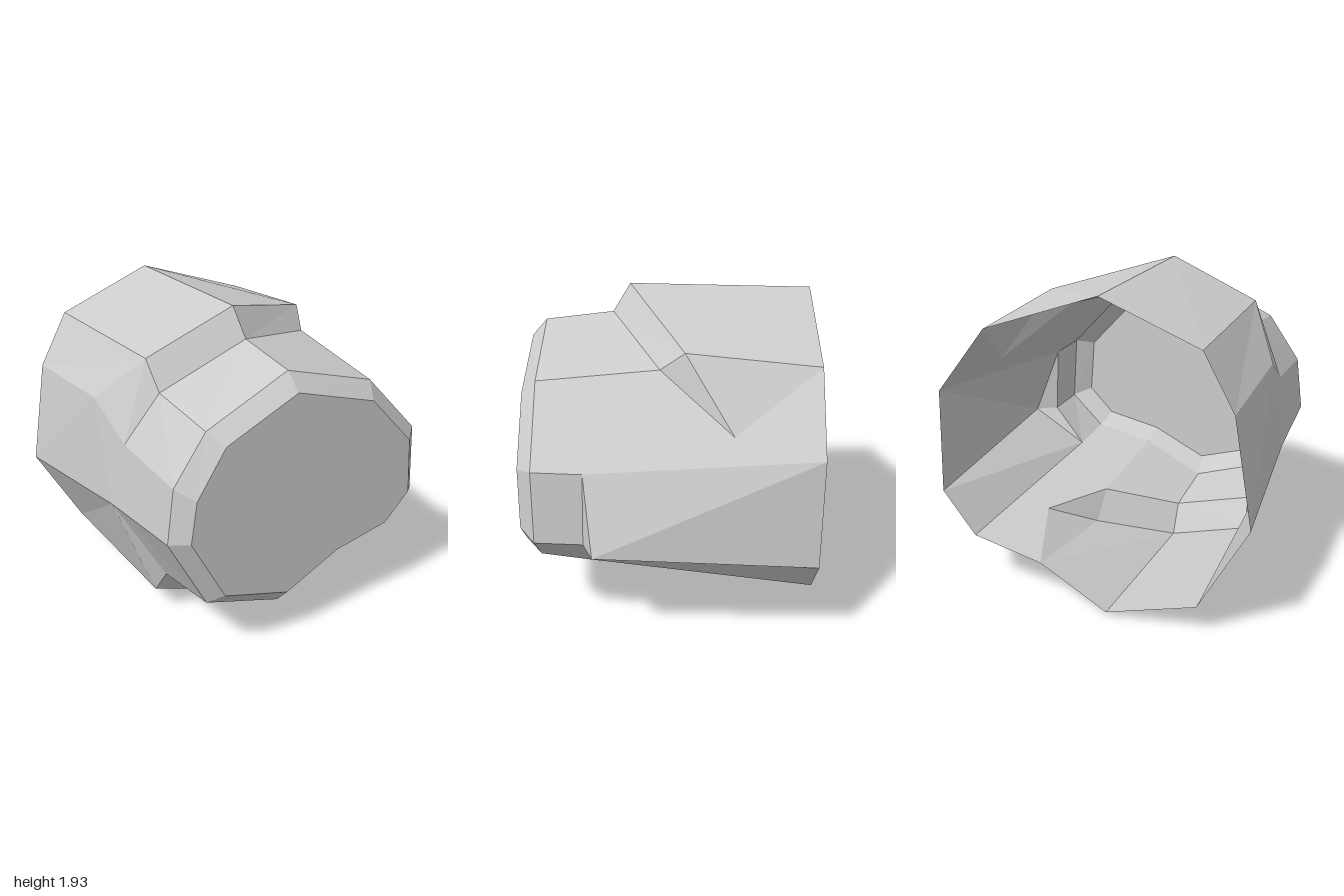
import * as THREE from 'three';

// One entry per column, clockwise seen from the front.
// rim: cap corner [x,y]; neck: bevel edge [x,y]; base / crest: foot and top of the raised step; back: open end [x,y]
const CAP_Z = 0.845, NECK_Z = 0.755, BACK_Z = -0.845;
const columns = [
  { rim: [-0.10, 1.61], neck: [-0.11, 1.71], base: [-0.11, 1.76, 0.345], crest: [-0.13, 1.93, 0.24], back: [-0.13, 1.91] },
  { rim: [0.43, 1.44], neck: [0.47, 1.53], base: [0.50, 1.61, 0.05], crest: [0.56, 1.73, -0.09], back: [0.58, 1.66], tip: [0.78, 1.33, -0.36] },
  { rim: [0.74, 1.11], neck: [0.84, 1.14], base: [0.84, 1.13, 0.47], back: [0.91, 1.25] },
  { rim: [0.77, 0.75], neck: [0.87, 0.71], base: [0.87, 0.70, 0.48], crest: [1.00, 0.69, 0.42], back: [0.94, 0.60] },
  { rim: [0.60, 0.58], neck: [0.65, 0.50], base: [0.66, 0.465, 0.46], back: [0.73, 0.34], tip: [0.49, 0.345, -0.36] },
  { rim: [0.23, 0.51], neck: [0.26, 0.43], base: [0.27, 0.345, 0.05], crest: [0.27, 0.17, -0.09], back: [0.28, 0.25] },
  { rim: [-0.13, 0.34], neck: [-0.14, 0.235], base: [-0.14, 0.18, 0.35], crest: [-0.15, 0.0, 0.24], back: [-0.15, 0.02] },
  { rim: [-0.56, 0.48], neck: [-0.63, 0.405], base: [-0.65, 0.345, 0.31], crest: [-0.67, 0.175, 0.20], back: [-0.71, 0.20] },
  { rim: [-0.77, 0.89], neck: [-0.865, 0.87], base: [-0.90, 0.83, 0.14], back: [-1.0, 0.735] },
  { rim: [-0.73, 1.14], neck: [-0.82, 1.20], base: [-0.84, 1.24, 0.23], crest: [-0.87, 1.42, -0.08], back: [-0.89, 1.37] },
  { rim: [-0.55, 1.41], neck: [-0.62, 1.48], base: [-0.65, 1.54, 0.31], crest: [-0.67, 1.71, 0.20], back: [-0.71, 1.69] },
].map((c) => ({
  rim: [...c.rim, CAP_Z],
  neck: [...c.neck, NECK_Z],
  base: c.base,
  crest: c.crest || c.base,
  back: [...c.back, BACK_Z],
  stepped: !!c.crest,
  tip: c.tip,
}));

// Flat-shaded mesh from convex polygons, each split as a fan
function facets(name, polygons, material) {
  const pos = [];
  for (const p of polygons) {
    for (let k = 1; k < p.length - 1; k++) {
      const tri = [p[0], p[k], p[k + 1]];
      if (new Set(tri).size === 3) pos.push(...tri.flat());
    }
  }
  const geo = new THREE.BufferGeometry();
  geo.setAttribute('position', new THREE.Float32BufferAttribute(pos, 3));
  geo.computeVertexNormals();
  const mesh = new THREE.Mesh(geo, material);
  mesh.name = name;
  return mesh;
}

export function createModel() {
  const grey = new THREE.MeshStandardMaterial({ color: 0xcccccc, flatShading: true, side: THREE.DoubleSide });
  grey.name = 'light grey';

  const bevel = [], core = [], step = [], shell = [];
  columns.forEach((a, i) => {
    const b = columns[(i + 1) % columns.length];
    bevel.push([a.rim, b.rim, b.neck, a.neck]);
    core.push([a.neck, b.neck, b.base, a.base]);
    if (a.tip) {
      // The step runs out to a point in the middle of this panel
      const t = a.tip;
      core.push([a.base, b.base, t]);
      if (a.stepped) step.push([a.base, t, a.crest]);
      else step.push([b.base, b.crest, t]);
      shell.push([a.crest, t, a.back], [t, b.back, a.back], [t, b.crest, b.back]);
    } else {
      step.push([a.base, b.base, b.crest, a.crest]);
      shell.push([b.crest, b.back, a.back, a.crest]);
    }
  });

  const model = new THREE.Group();
  model.name = 'facetedHollowDrum';
  model.add(
    facets('frontCap', [columns.map((c) => c.rim).reverse()], grey),
    facets('frontBevel', bevel, grey),
    facets('innerCore', core, grey),
    facets('raisedStep', step, grey),
    facets('outerShell', shell, grey),
  );
  return model;
}
